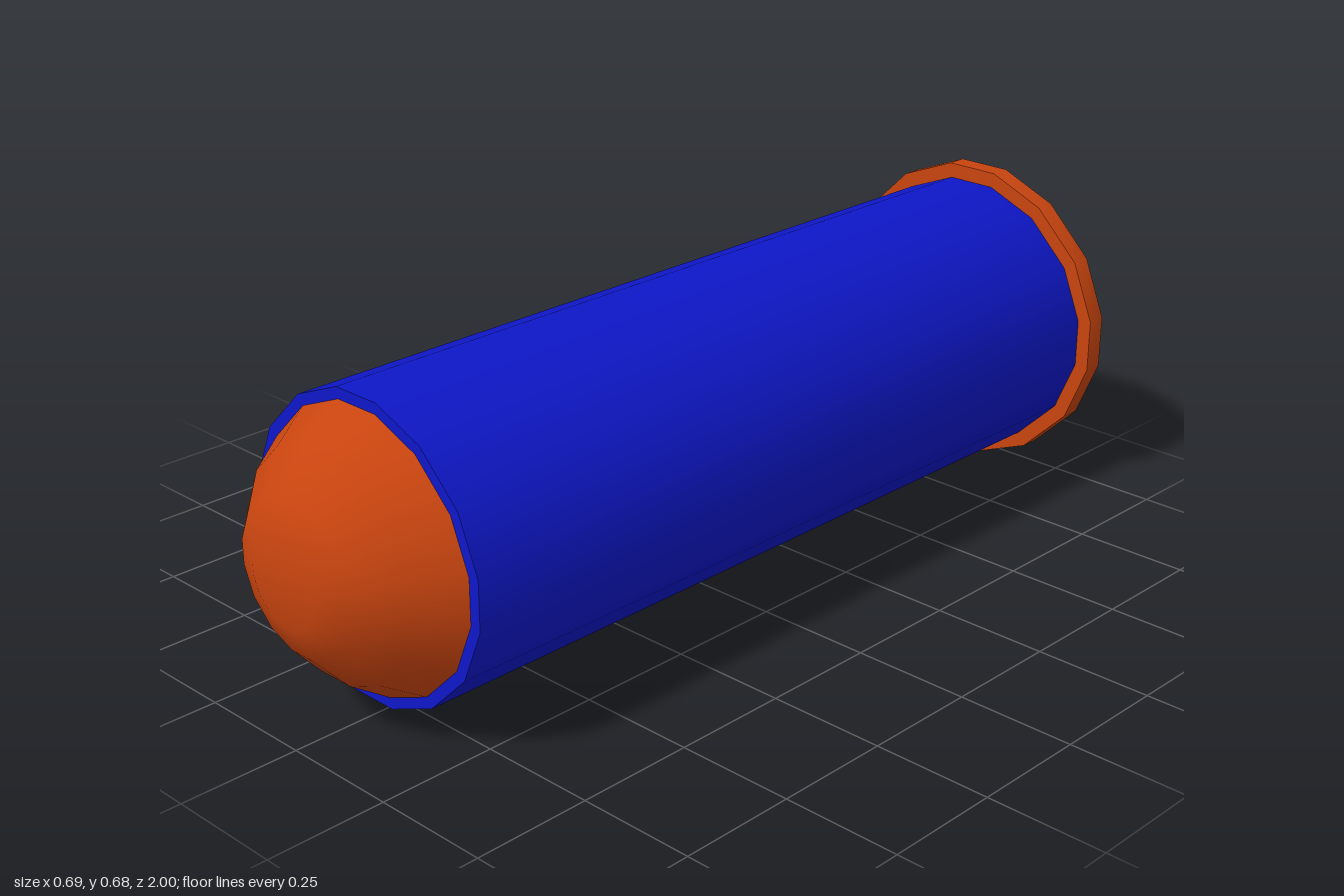
import * as THREE from 'three';
import { toCreasedNormals } from 'three/addons/utils/BufferGeometryUtils.js';

const CENTER_Y = 0.34;
const orange = new THREE.MeshStandardMaterial({ color: 0xc8440f });
const blue = new THREE.MeshStandardMaterial({ color: 0x0e17c8 });

// Sixteen-sided outline, mirrored from one quadrant and scaled to half-width rx, half-height ry
function outline(rx, ry) {
  const q = [[1, 0.168], [0.85, 0.54], [0.546, 0.846], [0.177, 1]];
  const r = [...q].reverse();
  return [
    ...q,
    ...r.map(([x, y]) => [-x, y]),
    ...q.map(([x, y]) => [-x, -y]),
    ...r.map(([x, y]) => [x, -y]),
  ].map(([x, y]) => new THREE.Vector2(x * rx, y * ry));
}

// Straight prism along z with smooth sides and sharp end edges
function prism(rx, ry, z0, z1) {
  const geo = new THREE.ExtrudeGeometry(new THREE.Shape(outline(rx, ry)), {
    depth: z1 - z0, bevelEnabled: false,
  });
  geo.translate(0, 0, z0);
  return toCreasedNormals(geo, 0.8);
}

// Smooth dome lofted through rings of [half-width, z], closed by a centre point
function dome(rings) {
  const pos = [], index = [], n = 16;
  for (const [r, z] of rings) {
    for (const p of outline(r, r * 0.98)) pos.push(p.x, p.y, z);
  }
  const last = rings.length - 1;
  pos.push(0, 0, rings[last][1]);
  for (let j = 0; j < n; j++) {
    const k = (j + 1) % n;
    for (let i = 0; i < last; i++) {
      const a = i * n + j, b = i * n + k;
      index.push(a, b, b + n, a, b + n, a + n);
    }
    index.push(last * n + j, last * n + k, (last + 1) * n);
  }
  const geo = new THREE.BufferGeometry();
  geo.setAttribute('position', new THREE.Float32BufferAttribute(pos, 3));
  geo.setIndex(index);
  geo.computeVertexNormals();
  return geo;
}

export function createModel() {
  const group = new THREE.Group();
  group.name = 'cartridge';
  const add = (name, geo, mat) => {
    const mesh = new THREE.Mesh(geo, mat);
    mesh.name = name;
    mesh.position.y = CENTER_Y;
    group.add(mesh);
  };

  add('baseRim', prism(0.346, 0.34, -1, -0.955), orange);
  add('casing', prism(0.314, 0.307, -0.955, 0.818), blue);
  add('tip', dome([[0.29, 0.818], [0.236, 0.9], [0.157, 0.973], [0.09, 1]]), orange);
  return group;
}
